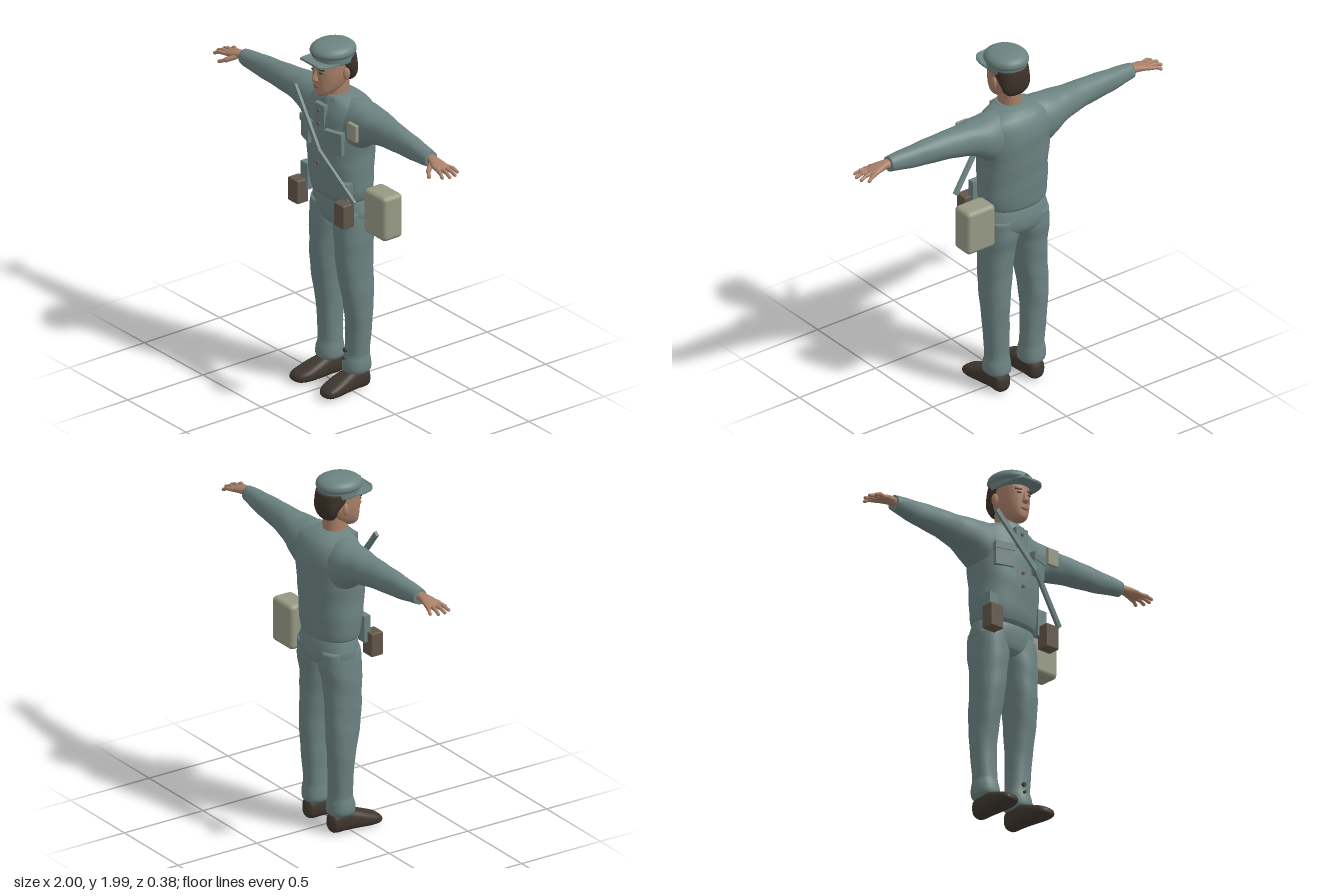
import * as THREE from 'three';
import { RoundedBoxGeometry } from 'three/addons/geometries/RoundedBoxGeometry.js';

const paint = (name, color) => Object.assign(new THREE.MeshStandardMaterial({ color }), { name });
const V = (x, y, z) => new THREE.Vector3(x, y, z);

// Smooth closed body through cross-sections [t, aMin, aMax, bMin, bMax].
// Axis y uses a = x, b = z; axis x uses a = z, b = y; axis z uses a = y, b = x.
function loft(axis, stations, { p = 2.3, fold = 0, seg = 36, steps = 5 } = {}) {
  const order = { y: [1, 0, 2], x: [0, 2, 1], z: [2, 1, 0] }[axis];
  const rows = [];
  const n = stations.length;
  for (let i = 0; i < n - 1; i++) {
    const [s0, s1, s2, s3] = [i - 1, i, i + 1, i + 2].map(k => stations[Math.min(n - 1, Math.max(0, k))]);
    for (let j = 0; j < steps; j++) {
      const u = j / steps;
      rows.push(s1.map((v, k) => {
        if (k === 0) return v + (s2[0] - v) * u;
        const h = s2[0] - s1[0];
        const m1 = (s2[k] - s0[k]) / (s2[0] - s0[0]) * h, m2 = (s3[k] - v) / (s3[0] - s1[0]) * h;
        const u2 = u * u, u3 = u2 * u;
        return (2 * u3 - 3 * u2 + 1) * v + (u3 - 2 * u2 + u) * m1 + (3 * u2 - 2 * u3) * s2[k] + (u3 - u2) * m2;
      }));
    }
  }
  rows.push(stations[n - 1]);
  const pos = [], idx = [];
  const put = (t, a, b) => {
    const q = [0, 0, 0];
    q[order[0]] = t; q[order[1]] = a; q[order[2]] = b;
    pos.push(...q);
  };
  const bend = v => Math.sign(v) * Math.abs(v) ** (2 / p);
  for (const [t, a0, a1, b0, b1] of rows) {
    for (let s = 0; s < seg; s++) {
      const th = s / seg * Math.PI * 2;
      const w = 1 + fold * (Math.sin(t * 43 + 2.2 * Math.sin(th + 1)) * 0.6 + Math.sin(th * 4 + t * 17) * 0.5);
      put(t, (a0 + a1) / 2 + (a1 - a0) / 2 * bend(Math.cos(th)) * w, (b0 + b1) / 2 + (b1 - b0) / 2 * bend(Math.sin(th)) * w);
    }
  }
  for (let r = 0; r < rows.length - 1; r++) for (let s = 0; s < seg; s++) {
    const a = r * seg + s, b = r * seg + (s + 1) % seg;
    idx.push(a, a + seg, b, b, a + seg, b + seg);
  }
  // end caps
  [rows[0], rows[rows.length - 1]].forEach((e, k) => {
    const c = pos.length / 3, base = k ? (rows.length - 1) * seg : 0;
    put(e[0], (e[1] + e[2]) / 2, (e[3] + e[4]) / 2);
    for (let s = 0; s < seg; s++) {
      const a = base + s, b = base + (s + 1) % seg;
      if (k) idx.push(c, b, a); else idx.push(c, a, b);
    }
  });
  const g = new THREE.BufferGeometry();
  g.setAttribute('position', new THREE.Float32BufferAttribute(pos, 3));
  g.setIndex(idx);
  g.computeVertexNormals();
  return g;
}

// Symmetric cross-sections [y, halfWidth, zMin, zMax]
const sym = list => list.map(([y, w, z0, z1]) => [y, -w, w, z0, z1]);

// Mirror an indexed geometry across x = 0
function mirror(geo) {
  const g = geo.clone().scale(-1, 1, 1), i = g.index;
  for (let k = 0; k < i.count; k += 3) {
    const a = i.getX(k);
    i.setX(k, i.getX(k + 1));
    i.setX(k + 1, a);
  }
  return g;
}

// Round-ended rod between two points
function rod(a, b, r) {
  const d = b.clone().sub(a), len = d.length();
  const q = new THREE.Quaternion().setFromUnitVectors(V(0, 1, 0), d.normalize());
  const m = a.clone().add(b).multiplyScalar(0.5);
  return new THREE.CapsuleGeometry(r, len, 5, 10).applyQuaternion(q).translate(m.x, m.y, m.z);
}

const box = (w, h, d, x, y, z, ry = 0) => new THREE.BoxGeometry(w, h, d).rotateY(ry).translate(x, y, z);
const disc = (r, x, y, z) => new THREE.CylinderGeometry(r, r, 0.012, 14).rotateX(Math.PI / 2).translate(x, y, z);

export function createModel() {
  const model = new THREE.Group();
  const cloth = paint('clothGreen', 0x6c8381), skin = paint('skin', 0xa98069), hair = paint('hair', 0x3c322a);
  const shoe = paint('shoeBrown', 0x40372f), leather = paint('pouchBrown', 0x62574a), canvas = paint('canvas', 0x969a84);
  const rust = paint('buttonRust', 0x74503f), lip = paint('lip', 0x8a5d50);
  const add = (name, geo, mat) => {
    const m = new THREE.Mesh(geo, mat);
    m.name = name;
    model.add(m);
    return m;
  };
  const pair = (name, geo, mat) => {
    add('left' + name, geo, mat);
    add('right' + name, mirror(geo), mat);
  };

  // Jacket and trousers
  add('jacket', loft('y', sym([
    [1.095, 0.165, -0.145, 0.075], [1.12, 0.186, -0.162, 0.096], [1.2, 0.198, -0.17, 0.11], [1.35, 0.198, -0.18, 0.124],
    [1.48, 0.21, -0.186, 0.12], [1.58, 0.215, -0.182, 0.105], [1.645, 0.19, -0.155, 0.082], [1.68, 0.12, -0.115, 0.065], [1.695, 0.06, -0.08, 0.05],
  ]), { fold: 0.012, seg: 56 }), cloth);
  add('trouserSeat', loft('y', sym([
    [0.94, 0.1, -0.12, 0.04], [0.97, 0.17, -0.155, 0.065], [1.02, 0.197, -0.168, 0.076], [1.08, 0.188, -0.16, 0.08], [1.14, 0.17, -0.14, 0.07],
  ]), { fold: 0.006 }), cloth);
  pair('TrouserLeg', loft('y', [
    [0.095, 0.06, 0.165, -0.105, 0.015], [0.115, 0.042, 0.184, -0.12, 0.03], [0.16, 0.042, 0.186, -0.118, 0.028], [0.21, 0.05, 0.18, -0.11, 0.015],
    [0.4, 0.054, 0.194, -0.12, 0.02], [0.55, 0.05, 0.2, -0.13, 0.045], [0.7, 0.033, 0.198, -0.13, 0.068],
    [0.85, 0.013, 0.199, -0.137, 0.074], [0.95, 0.001, 0.199, -0.155, 0.076], [1.05, 0.001, 0.19, -0.155, 0.07],
  ], { fold: 0.018 }), cloth);
  pair('Sleeve', loft('x', [
    [0.08, -0.15, 0.07, 1.45, 1.682], [0.17, -0.155, 0.075, 1.41, 1.682], [0.22, -0.15, 0.07, 1.44, 1.678], [0.28, -0.138, 0.058, 1.478, 1.673],
    [0.36, -0.118, 0.046, 1.5, 1.668], [0.5, -0.09, 0.04, 1.515, 1.66], [0.65, -0.07, 0.036, 1.527, 1.648],
    [0.77, -0.052, 0.036, 1.543, 1.636], [0.8, -0.046, 0.032, 1.548, 1.632],
  ], { fold: 0.022, p: 2.1 }), cloth);

  // Shoes
  pair('Shoe', loft('z', [
    [-0.115, 0.025, 0.08, 0.085, 0.14], [-0.1, 0.003, 0.11, 0.068, 0.157], [-0.03, 0, 0.125, 0.064, 0.162], [0.05, 0, 0.105, 0.056, 0.176],
    [0.12, 0, 0.078, 0.06, 0.184], [0.165, 0.004, 0.06, 0.075, 0.18], [0.185, 0.012, 0.045, 0.095, 0.165], [0.191, 0.02, 0.035, 0.115, 0.15],
  ], { p: 2.6 }), shoe);

  // Hands
  pair('Palm', loft('x', [
    [0.77, -0.034, 0.02, 1.565, 1.618], [0.82, -0.032, 0.026, 1.57, 1.615], [0.87, -0.04, 0.044, 1.566, 1.605],
    [0.905, -0.043, 0.042, 1.561, 1.594], [0.925, -0.035, 0.034, 1.566, 1.587],
  ]), skin);
  [[-0.034, 0.96, -0.055], [-0.012, 0.986, -0.02], [0.011, 0.989, 0.018], [0.032, 0.972, 0.054]].forEach(([z0, x, z1], i) => {
    const mid = V(0.91 + (x - 0.91) * 0.55, 1.577, z0 + (z1 - z0) * 0.6);
    pair('Finger' + (i + 1), rod(V(0.9, 1.579, z0), mid, 0.0115), skin);
    pair('Fingertip' + (i + 1), rod(mid, V(x, 1.564, z1), 0.0095), skin);
  });
  pair('Thumb', rod(V(0.835, 1.582, 0.022), V(0.865, 1.565, 0.062), 0.014), skin);
  pair('ThumbTip', rod(V(0.865, 1.565, 0.062), V(0.897, 1.55, 0.083), 0.0105), skin);

  // Neck, head and face
  add('neck', loft('y', sym([[1.62, 0.062, -0.07, 0.06], [1.7, 0.056, -0.068, 0.062], [1.8, 0.058, -0.07, 0.05]])), skin);
  add('head', loft('y', sym([
    [1.7, 0.028, 0.06, 0.12], [1.715, 0.045, 0.02, 0.132], [1.75, 0.066, -0.035, 0.136], [1.8, 0.08, -0.075, 0.138],
    [1.85, 0.085, -0.088, 0.138], [1.9, 0.086, -0.088, 0.13], [1.94, 0.075, -0.07, 0.11],
  ])), skin);
  add('nose', loft('y', sym([
    [1.784, 0.009, 0.12, 0.142], [1.792, 0.019, 0.115, 0.157], [1.803, 0.017, 0.115, 0.162], [1.83, 0.01, 0.115, 0.15], [1.862, 0.008, 0.115, 0.136],
  ]), { seg: 16, p: 2 }), skin);
  pair('Ear', new THREE.SphereGeometry(1, 14, 10).scale(0.012, 0.034, 0.02).rotateY(-0.35).translate(0.092, 1.825, 0.005), skin);
  pair('Eyebrow', box(0.036, 0.007, 0.008, 0.038, 1.862, 0.131, 0.28), hair);
  pair('Eye', new THREE.SphereGeometry(1, 12, 8).scale(0.014, 0.005, 0.004).rotateY(0.28).translate(0.036, 1.842, 0.133), hair);
  add('mouth', new THREE.SphereGeometry(1, 14, 8).scale(0.026, 0.008, 0.006).translate(0, 1.757, 0.136), lip);
  add('hair', loft('y', sym([
    [1.765, 0.055, -0.085, -0.03], [1.785, 0.074, -0.096, -0.02], [1.82, 0.087, -0.104, -0.008], [1.865, 0.093, -0.106, 0.045], [1.91, 0.094, -0.1, 0.075],
  ])), hair);

  // Cap
  add('capBand', loft('y', sym([[1.885, 0.1, -0.09, 0.128], [1.91, 0.102, -0.092, 0.13], [1.935, 0.104, -0.095, 0.134]]), { p: 2.1 }), cloth);
  add('capCrown', loft('y', sym([
    [1.918, 0.1, -0.09, 0.13], [1.93, 0.112, -0.1, 0.146], [1.945, 0.115, -0.103, 0.15], [1.965, 0.106, -0.094, 0.138],
    [1.982, 0.078, -0.066, 0.106], [1.99, 0.03, -0.02, 0.055],
  ]), { p: 2.05 }), cloth);
  const brim = new THREE.Shape();
  brim.moveTo(-0.1, 0.06);
  brim.bezierCurveTo(-0.102, 0.17, -0.085, 0.19, -0.05, 0.191);
  brim.lineTo(0.05, 0.191);
  brim.bezierCurveTo(0.085, 0.19, 0.102, 0.17, 0.1, 0.06);
  const visor = new THREE.ExtrudeGeometry(brim, { depth: 0.01, bevelEnabled: false, curveSegments: 12 }).rotateX(Math.PI / 2);
  const vp = visor.attributes.position;
  for (let i = 0; i < vp.count; i++) vp.setY(i, vp.getY(i) + 1.92 - 2.2 * vp.getX(i) ** 2);
  visor.computeVertexNormals();
  add('capVisor', visor, cloth);
  add('capButton', disc(0.009, 0, 1.943, 0.15), rust);

  // Collar with two leaves
  add('collarStand', loft('y', sym([[1.64, 0.1, -0.115, 0.085], [1.675, 0.083, -0.095, 0.08], [1.695, 0.074, -0.084, 0.07]]), { p: 2.1 }), cloth);
  for (const s of [1, -1]) {
    const leaf = new THREE.Shape([[0.012, 0.035], [0.06, 0.055], [0.088, 0.01], [0.06, -0.045]].map(([x, y]) => new THREE.Vector2(s * x, y)));
    const m = add(s > 0 ? 'leftCollarLeaf' : 'rightCollarLeaf', new THREE.ExtrudeGeometry(leaf, { depth: 0.012, bevelEnabled: false }), cloth);
    m.position.set(0, 1.64, 0.087);
    m.rotation.set(-0.3, s * 0.35, 0);
  }

  // Jacket front: placket, buttons, chest pockets, badge
  add('placket', box(0.082, 0.125, 0.028, 0, 1.585, 0.102), cloth);
  [[1.61, 0.118], [1.535, 0.118], [1.385, 0.126], [1.31, 0.124]].forEach(([y, z], i) => add('button' + (i + 1), disc(0.009, 0, y, z), rust));
  pair('ChestPocket', box(0.108, 0.12, 0.03, 0.117, 1.46, 0.104, 0.3), cloth);
  pair('PocketFlap', box(0.114, 0.04, 0.04, 0.117, 1.51, 0.105, 0.3), cloth);
  add('shoulderBadge', new RoundedBoxGeometry(0.075, 0.098, 0.024, 2, 0.006).translate(0.245, 1.565, 0.082), canvas);

  // Belt pouches with their hanging tabs, and the side bag
  for (const s of [1, -1]) {
    const side = s > 0 ? 'left' : 'right';
    add(side + 'Pouch', new RoundedBoxGeometry(0.086, 0.135, 0.075, 2, 0.008).translate(s * 0.196, 1.078, 0.104), leather);
    add(side + 'PouchTab', box(0.06, 0.15, 0.038, s * 0.17, 1.162, 0.066), cloth);
  }
  add('sideBag', new RoundedBoxGeometry(0.185, 0.255, 0.13, 4, 0.026).translate(0.288, 1.067, -0.085), canvas);

  // Diagonal shoulder strap, bowed away from the chest
  const path = [V(-0.19, 1.69, 0.13), V(0.055, 1.41, 0.162), V(0.275, 1.17, 0.1)];
  for (let i = 0; i < 2; i++) {
    const d = path[i + 1].clone().sub(path[i]), m = path[i].clone().add(path[i + 1]).multiplyScalar(0.5);
    const strap = add('strap' + (i + 1), new THREE.BoxGeometry(0.028, 0.016, d.length() + 0.008), cloth);
    strap.up.set(0, 0, 1);
    strap.position.copy(m);
    strap.lookAt(path[i + 1]);
  }

  // Small studs on the left trouser cuff
  [[0.23, 0.012, 0.022], [0.185, 0.008, 0.028]].forEach(([y, r, z], i) => add('cuffStud' + (i + 1), disc(r, 0.1, y, z), shoe));
  return model;
}
